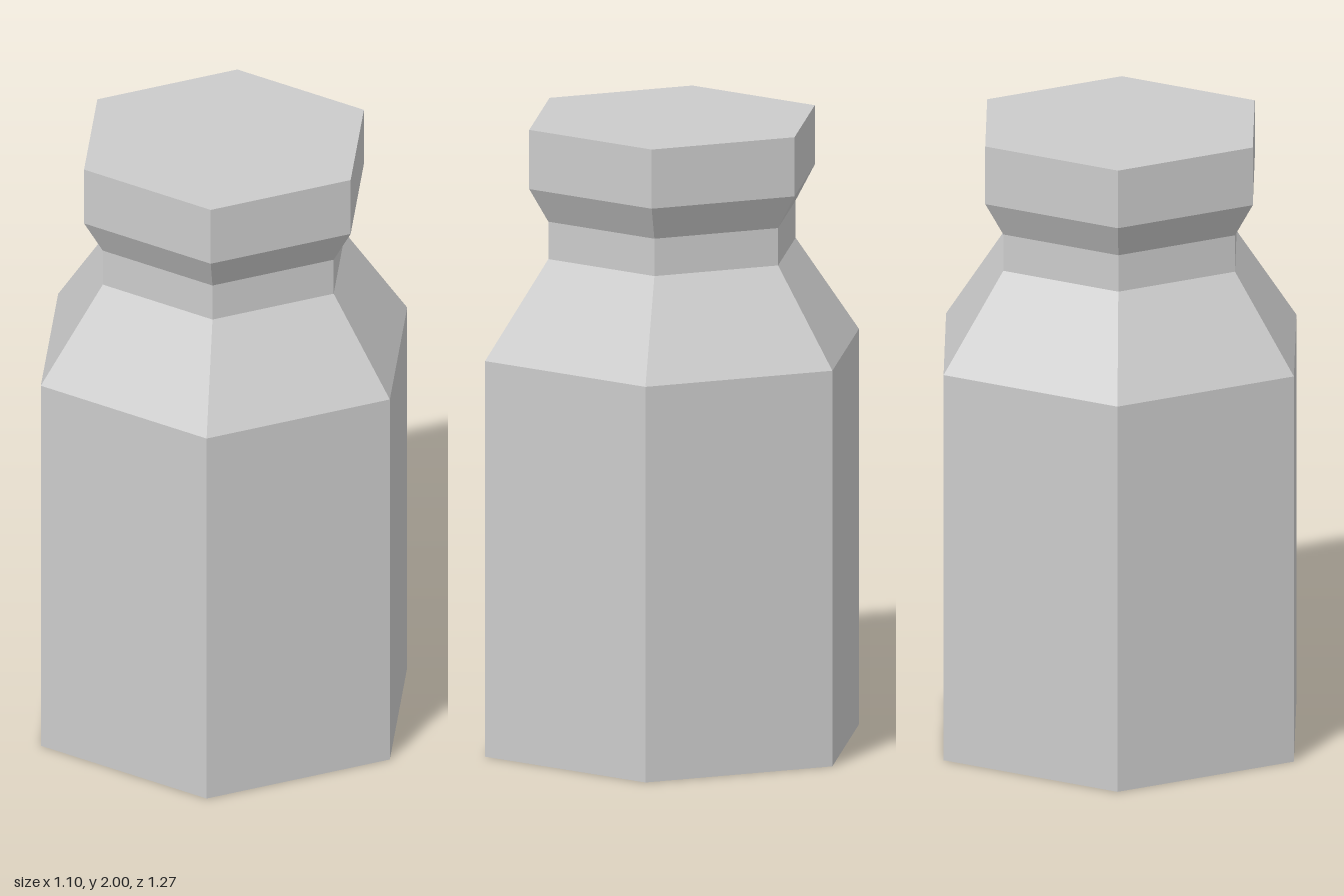
import * as THREE from 'three';

export function createModel() {
  const model = new THREE.Group();
  model.name = 'bottle';

  // Corner radius and height, from the centre of the base up to the centre of the lid
  const profile = [
    [0, 0], [0.635, 0],          // base
    [0.635, 1.27],               // body wall
    [0.42, 1.58],                // sloping shoulder
    [0.42, 1.70],                // neck
    [0.485, 1.81],               // flare under the lid
    [0.485, 2], [0, 2],          // lid rim and top
  ].map(([r, y]) => new THREE.Vector2(r, y));

  // Six-sided closed bottle with corners facing front and back
  const bottle = new THREE.Mesh(
    new THREE.LatheGeometry(profile, 6),
    new THREE.MeshStandardMaterial({ color: 0xcccccc, flatShading: true })
  );
  bottle.name = 'hexagonalBottle';
  model.add(bottle);

  return model;
}
